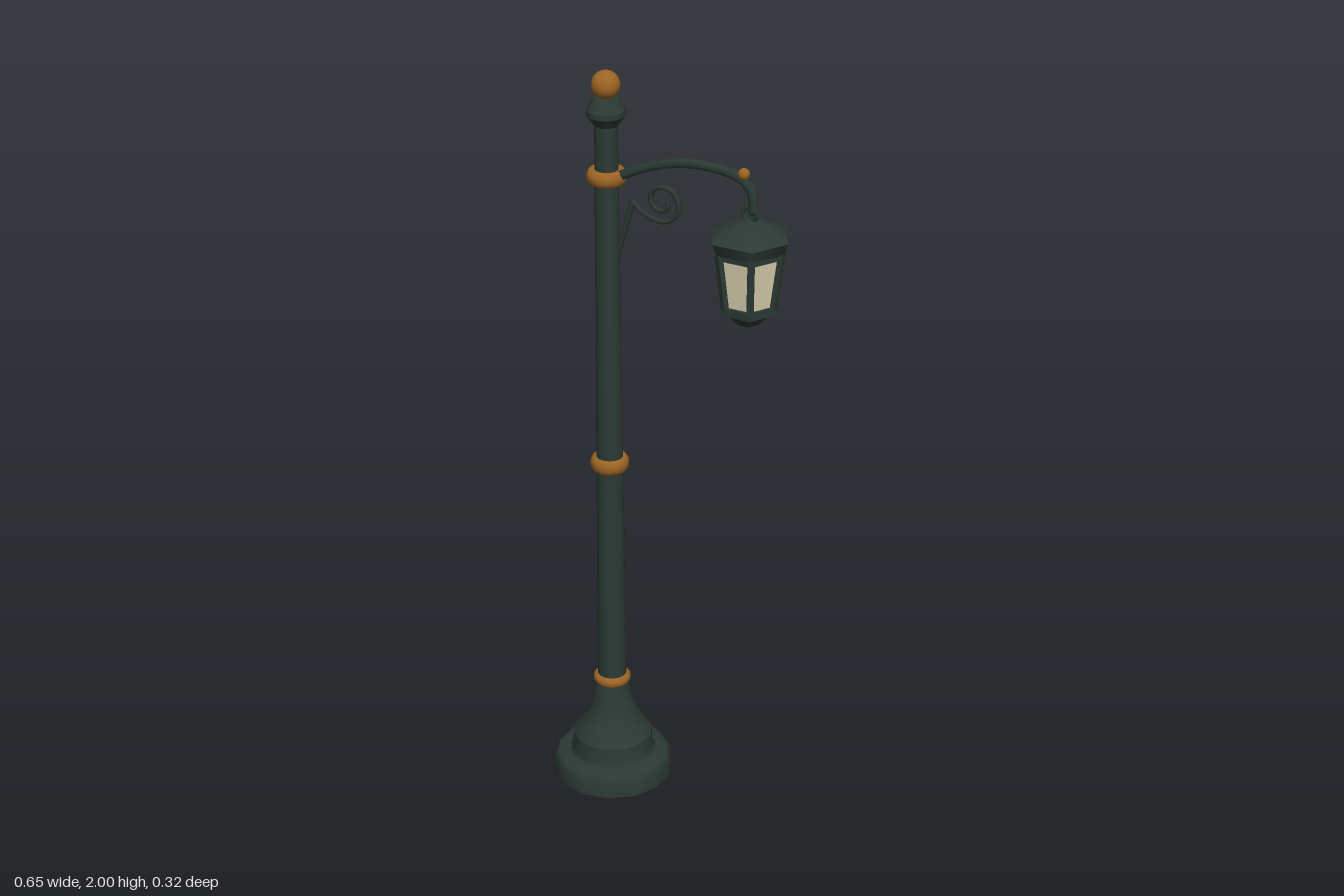
import * as THREE from 'three';

const POST_X = -0.17, LAMP_X = 0.222;

function paint(name, hex) {
  const m = new THREE.MeshStandardMaterial({ color: hex });
  m.name = name;
  return m;
}

// Lathe from [radius, height] pairs; a repeated pair makes a sharp edge
function lathe(profile, sides) {
  return new THREE.LatheGeometry(profile.map(([r, y]) => new THREE.Vector2(r, y)), sides);
}

function tube(points, radius, steps, sides) {
  const curve = new THREE.CatmullRomCurve3(points.map(([x, y]) => new THREE.Vector3(x, y, 0)), false, 'centripetal');
  return new THREE.TubeGeometry(curve, steps, radius, sides);
}

function flat(geometry) {
  const g = geometry.toNonIndexed();
  g.computeVertexNormals();
  return g;
}

export function createModel() {
  const root = new THREE.Group();
  root.name = 'streetLamp';
  const iron = paint('darkGreenIron', 0x2c3a34);
  const brass = paint('agedBrass', 0x9c6424);
  const glass = paint('creamGlass', 0xd9d0b0);

  function add(parent, name, geometry, material, x = 0, y = 0, z = 0) {
    const mesh = new THREE.Mesh(geometry, material);
    mesh.name = name;
    mesh.position.set(x, y, z);
    parent.add(mesh);
    return mesh;
  }

  // Post
  const post = new THREE.Group();
  post.name = 'post';
  post.position.x = POST_X;
  root.add(post);

  add(post, 'base', lathe([
    [0, 0], [0.16, 0], [0.16, 0], [0.16, 0.045], [0.148, 0.06], [0.118, 0.064], [0.118, 0.064],
    [0.109, 0.072], [0.107, 0.12], [0.107, 0.12], [0.095, 0.138], [0.075, 0.165], [0.062, 0.195],
    [0.052, 0.235], [0.044, 0.285], [0.044, 0.285], [0.03, 0.29],
  ], 14), iron);
  add(post, 'shaft', new THREE.CylinderGeometry(0.029, 0.039, 1.59, 14), iron, 0, 1.08, 0);
  add(post, 'cap', lathe([
    [0.028, 1.86], [0.034, 1.868], [0.034, 1.868], [0.049, 1.888], [0.049, 1.888], [0.049, 1.902],
    [0.049, 1.902], [0.032, 1.932], [0.032, 1.932], [0, 1.938],
  ], 14), iron);
  add(post, 'topBall', new THREE.SphereGeometry(0.036, 16, 12), brass, 0, 1.964, 0);

  // Brass collars: height, half thickness
  for (const [y, h] of [[0.29, 0.014], [0.94, 0.019], [1.73, 0.018]]) {
    add(post, 'collar', lathe([
      [0.03, y - h], [0.043, y - h], [0.05, y - h * 0.4], [0.05, y + h * 0.4], [0.043, y + h], [0.028, y + h],
    ], 14), brass);
  }

  // Curved arm with its brass bead
  add(root, 'arm', tube([
    [-0.18, 1.715], [-0.13, 1.738], [-0.045, 1.778], [0.065, 1.805], [0.19, 1.795], [0.227, 1.765], [0.232, 1.715],
  ], 0.0125, 18, 7), iron);
  add(root, 'armEnd', new THREE.SphereGeometry(0.0125, 8, 6), iron, 0.232, 1.715, 0);
  add(root, 'armBead', new THREE.SphereGeometry(0.015, 10, 8), brass, 0.205, 1.804, 0);

  // Scroll bracket: straight strut, then a spiral that winds inwards
  add(root, 'strut', tube([[-0.148, 1.505], [-0.098, 1.675]], 0.0075, 1, 6), iron);
  const scroll = [[-0.098, 1.675], [-0.07, 1.653]];
  for (let i = 0; i <= 20; i++) {
    const t = i / 20, a = -1.9 + t * 8.4, r = 0.054 - 0.038 * t;
    scroll.push([-0.016 + r * Math.cos(a), 1.691 + r * Math.sin(a)]);
  }
  add(root, 'scroll', tube(scroll, 0.0065, 56, 6), iron);

  // Lantern, six sided with a corner towards +x
  const lantern = new THREE.Group();
  lantern.name = 'lantern';
  lantern.position.x = LAMP_X;
  lantern.rotation.y = Math.PI / 2;
  root.add(lantern);

  add(lantern, 'hangingRing', new THREE.TorusGeometry(0.018, 0.006, 6, 14), iron, 0, 1.705, 0).rotation.y = Math.PI / 2;
  add(lantern, 'roof', lathe([
    [0, 1.615], [0.093, 1.615], [0.093, 1.615], [0.105, 1.648], [0.105, 1.648], [0.075, 1.666],
    [0.04, 1.682], [0.012, 1.69], [0, 1.691],
  ], 6), iron);
  add(lantern, 'panes', flat(new THREE.CylinderGeometry(0.086, 0.066, 0.15, 6)), glass, 0, 1.545, 0);
  add(lantern, 'topRail', flat(new THREE.CylinderGeometry(0.094, 0.093, 0.014, 6)), iron, 0, 1.612, 0);
  add(lantern, 'bottomRail', flat(new THREE.CylinderGeometry(0.076, 0.074, 0.022, 6)), iron, 0, 1.466, 0);
  add(lantern, 'underside', flat(new THREE.CylinderGeometry(0.064, 0.028, 0.036, 6)), iron, 0, 1.438, 0);

  // Leaning corner bars
  const lean = Math.atan2(0.02, 0.15);
  for (let i = 0; i < 6; i++) {
    const corner = new THREE.Group();
    corner.name = 'cornerBar';
    corner.rotation.y = (i * Math.PI) / 3;
    lantern.add(corner);
    add(corner, 'bar', new THREE.BoxGeometry(0.017, 0.152, 0.014), iron, 0, 1.545, 0.077).rotation.x = lean;
  }

  return root;
}
